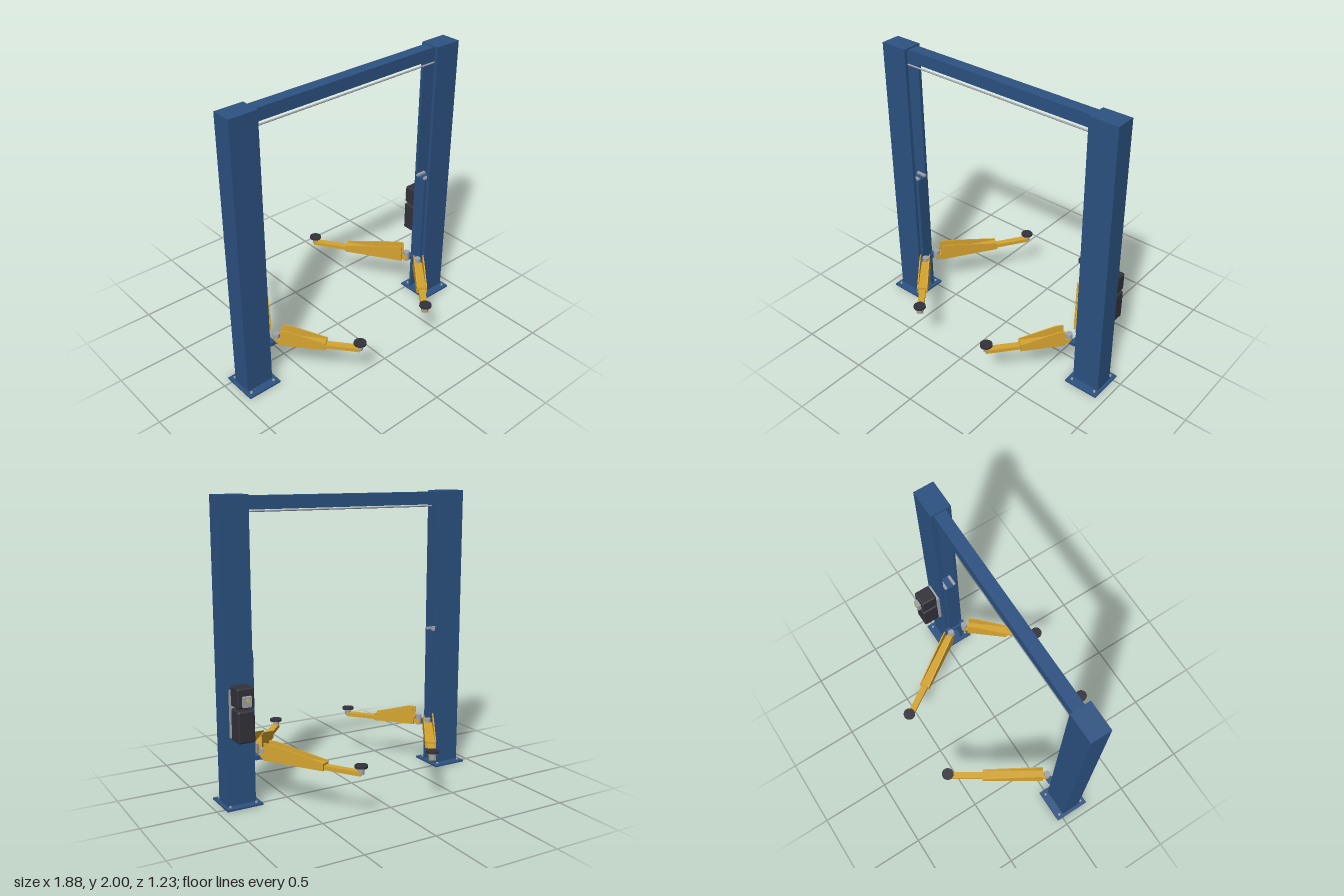
import * as THREE from 'three';
import { RoundedBoxGeometry } from 'three/addons/geometries/RoundedBoxGeometry.js';

const mat = (name, color) => Object.assign(new THREE.MeshStandardMaterial({ color }), { name });

export function createModel() {
  const blue = mat('blue paint', 0x2c5282);
  const yellow = mat('yellow paint', 0xd6a530);
  const steel = mat('bare steel', 0xa0a4aa);
  const black = mat('black rubber', 0x33323a);
  const lime = mat('button yellow', 0xc2bd3c);

  const root = new THREE.Group();
  root.name = 'twoPostLift';

  const add = (parent, name, geo, material, x = 0, y = 0, z = 0) => {
    const mesh = new THREE.Mesh(geo, material);
    mesh.name = name;
    mesh.position.set(x, y, z);
    parent.add(mesh);
    return mesh;
  };
  // Box given by its minimum and maximum corners
  const box = (parent, name, material, [x0, y0, z0], [x1, y1, z1]) =>
    add(parent, name, new THREE.BoxGeometry(x1 - x0, y1 - y0, z1 - z0), material,
      (x0 + x1) / 2, (y0 + y1) / 2, (z0 + z1) / 2);
  // Upright cylinder between two heights
  const post = (parent, name, material, r, y0, y1, x = 0, z = 0, sides = 24) =>
    add(parent, name, new THREE.CylinderGeometry(r, r, y1 - y0, sides), material, x, (y0 + y1) / 2, z);

  const zMid = 0.085;

  // C-shaped column section, open towards local -x, with lips
  const section = new THREE.Shape([
    [-0.1, -0.07], [0.1, -0.07], [0.1, 0.07], [-0.1, 0.07], [-0.1, 0.047], [-0.09, 0.047],
    [-0.09, 0.06], [0.09, 0.06], [0.09, -0.06], [-0.09, -0.06], [-0.09, -0.047], [-0.1, -0.047],
  ].map(([x, y]) => new THREE.Vector2(x, y)));
  const columnGeo = new THREE.ExtrudeGeometry(section, { depth: 1.978, bevelEnabled: false });
  columnGeo.rotateX(-Math.PI / 2);

  // Columns, base plates and sliding carriages
  for (const s of [1, -1]) {
    const side = new THREE.Group();
    side.name = s > 0 ? 'leftPost' : 'rightPost';
    side.position.set(s * 0.82, 0, zMid);
    side.rotation.y = s > 0 ? 0 : Math.PI;
    root.add(side);

    box(side, 'basePlate', blue, [-0.128, 0, -0.128], [0.122, 0.012, 0.128]);
    for (const x of [-0.092, 0.09])
      for (const z of [-0.096, 0.096]) post(side, 'anchorBolt', steel, 0.009, 0.012, 0.022, x, z, 6);
    add(side, 'column', columnGeo, blue, 0, 0.012, 0);
    box(side, 'columnCap', blue, [-0.1, 1.988, -0.07], [0.1, 2, 0.07]);

    box(side, 'carriage', blue, [-0.118, 0.295, -0.042], [-0.03, 1.005, 0.042]);
    for (const z of [-0.033, 0.033])
      box(side, 'sliderPad', steel, [-0.117, 1.005, z - 0.009], [-0.04, 1.02, z + 0.009]);

    // Arm bracket, top and bottom leaves
    box(side, 'bracket', blue, [-0.135, 0.295, -0.08], [-0.101, 0.32, 0.08]);
    for (const z of [-0.058, 0.058]) {
      box(side, 'pivotLug', blue, [-0.165, 0.295, z - 0.022], [-0.11, 0.302, z + 0.022]);
      post(side, 'pivotPin', steel, 0.023, 0.29, 0.362, -0.16, z);
    }
  }

  // Overhead beam and cable bar
  box(root, 'overheadBeam', blue, [-0.725, 1.905, 0.035], [0.725, 1.99, 0.118]);
  const bar = add(root, 'cableBar', new THREE.CylinderGeometry(0.006, 0.006, 1.46, 10), steel, 0, 1.89, 0.128);
  bar.rotation.z = Math.PI / 2;

  // Swing arms: x runs from pivot to pad
  const arm = (name, pivot, pad, outerLength) => {
    const dx = pad[0] - pivot[0], dz = pad[1] - pivot[1];
    const length = Math.hypot(dx, dz);
    const g = new THREE.Group();
    g.name = name;
    g.position.set(pivot[0], 0, pivot[1]);
    g.rotation.y = Math.atan2(-dz, dx);
    root.add(g);

    box(g, 'armRoot', yellow, [-0.01, 0.302, -0.025], [0.05, 0.33, 0.025]);
    box(g, 'outerArm', yellow, [0.03, 0.293, -0.03], [outerLength, 0.338, 0.03]);
    box(g, 'innerArm', yellow, [0.1, 0.297, -0.023], [length + 0.004, 0.324, 0.023]);

    // Tapered side plates
    const plate = new THREE.Shape([
      [0.03, 0.293], [outerLength, 0.293], [outerLength, 0.345], [0.085, 0.412], [0.035, 0.412],
    ].map(([x, y]) => new THREE.Vector2(x, y)));
    const plateGeo = new THREE.ExtrudeGeometry(plate, { depth: 0.008, bevelEnabled: false });
    for (const z of [-0.037, 0.029]) add(g, 'sidePlate', plateGeo, yellow, 0, 0, z);

    // Lifting pad
    post(g, 'padStem', steel, 0.02, 0.305, 0.345, length);
    post(g, 'padDish', steel, 0.036, 0.343, 0.351, length, 0, 32);
    post(g, 'padRubber', black, 0.042, 0.35, 0.364, length, 0, 32);
  };
  for (const s of [1, -1]) {
    arm('frontArm', [s * 0.66, 0.143], [s * 0.303, 0.572], 0.335);
    arm('rearArm', [s * 0.66, 0.027], [s * 0.27, -0.579], 0.47);
  }

  // Power unit on the back of the left post
  const unit = new THREE.Group();
  unit.name = 'powerUnit';
  root.add(unit);
  box(unit, 'mountPlate', steel, [0.765, 0.475, -0.004], [0.89, 0.79, 0.016]);
  add(unit, 'tank', new RoundedBoxGeometry(0.115, 0.21, 0.12, 3, 0.012), black, 0.828, 0.57, -0.064);
  add(unit, 'motor', new RoundedBoxGeometry(0.115, 0.13, 0.116, 3, 0.01), black, 0.828, 0.757, -0.062);
  post(unit, 'neck', black, 0.03, 0.67, 0.7, 0.828, -0.06);
  box(unit, 'switchBox', steel, [0.8, 0.705, -0.146], [0.856, 0.772, -0.118]);
  const button = add(unit, 'button', new THREE.CylinderGeometry(0.01, 0.01, 0.012, 16), lime, 0.828, 0.748, -0.15);
  button.rotation.x = Math.PI / 2;

  return root;
}
